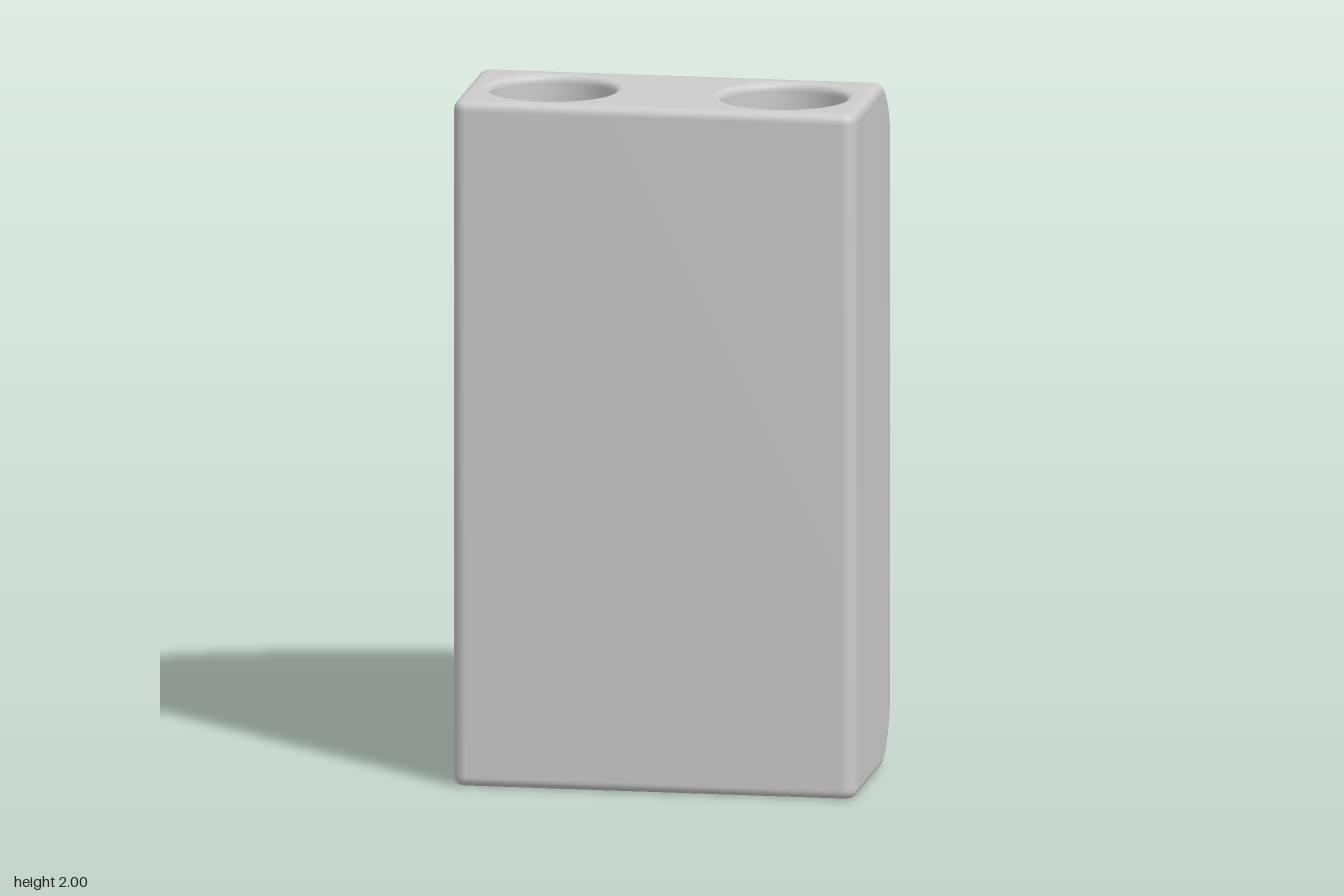
import * as THREE from 'three';
import { mergeVertices } from 'three/addons/utils/BufferGeometryUtils.js';

const R = 0.585;        // half width and radius of the round back
const ZC = 0.02;        // centre of the round back
const ZF = 0.56;        // front face
const CORNER = 0.04;    // vertical front corners
const EDGE = 0.03;      // rounding of the outer rim
const BEND = [0.02, 0.04, 0.06, 0.08, 0.1]; // soft crease between flat end and slope

// Height of the upper end: flat in front, then sloping at 45 degrees
function top(z) {
  if (z >= 0.1) return 2;
  if (z >= 0.02) return 2 - (0.1 - z) ** 2 / 0.16;
  return 1.94 + z;
}

// Arc of points with their outward normals
function arc(cx, cz, r, a0, a1, n, sign = 1) {
  const pts = [];
  for (let i = 0; i <= n; i++) {
    const a = a0 + (a1 - a0) * i / n, c = Math.cos(a), s = Math.sin(a);
    pts.push({ x: cx + r * c, z: cz + r * s, nx: sign * c, nz: sign * s });
  }
  return pts;
}

function outline() {
  const side = [...BEND, 0.2, 0.3, 0.4];
  const h = Math.PI / 2, k = ZF - CORNER;
  return [
    ...side.map(z => ({ x: R, z, nx: 1, nz: 0 })),
    ...arc(R - CORNER, k, CORNER, 0, h, 6),
    ...arc(CORNER - R, k, CORNER, h, 2 * h, 6),
    ...side.slice().reverse().map(z => ({ x: -R, z, nx: -1, nz: 0 })),
    ...arc(0, ZC, R, 2 * h, 4 * h, 64).slice(1, -1),
  ];
}

// Round hole whose normals point into the opening
const hole = (x, z, r, n) => arc(x, z, r, 0, Math.PI * 2, n, -1).slice(0, -1);

const inset = (p, d) => new THREE.Vector2(p.x - p.nx * d, p.z - p.nz * d);

export function createModel() {
  const grey = new THREE.MeshStandardMaterial({ color: 0xcccccc });
  grey.name = 'lightGrey';
  const pos = [];
  const tri = (a, b, c) => pos.push(...a, ...b, ...c);

  // Wall with softly rounded rims at both ends
  function wall(pts, d, inward) {
    const steps = 6;
    const columns = pts.map(p => {
      const q = inset(p, d), y0 = top(q.y), y1 = top(p.z), upper = [];
      for (let i = 0; i <= steps; i++) {
        const t = i / steps, a = (1 - t) ** 2, b = 2 * t * (1 - t), c = t * t;
        upper.push([
          a * q.x + (b + c) * p.x,
          a * y0 + b * y1 + c * (y1 - d),
          a * q.y + (b + c) * p.z,
        ]);
      }
      const lower = upper.slice().reverse().map(([x, y, z]) => [x, 2 - y, z]);
      return [...upper, ...lower];
    });
    columns.forEach((A, j) => {
      const B = columns[(j + 1) % columns.length];
      for (let i = 0; i < A.length - 1; i++) {
        if (inward) {
          tri(A[i], A[i + 1], B[i]);
          tri(B[i], A[i + 1], B[i + 1]);
        } else {
          tri(A[i], B[i], A[i + 1]);
          tri(B[i], B[i + 1], A[i + 1]);
        }
      }
    });
  }

  // Matching upper and lower end surfaces
  function ends(contour, holes = []) {
    const all = [contour, ...holes].flat();
    for (const f of THREE.ShapeUtils.triangulateShape(contour, holes)) {
      let [a, b, c] = f.map(i => all[i]);
      const area = (b.x - a.x) * (c.y - a.y) - (b.y - a.y) * (c.x - a.x);
      if (area > 0) [b, c] = [c, b];
      const up = v => [v.x, top(v.y), v.y];
      const down = v => [v.x, 2 - top(v.y), v.y];
      tri(up(a), up(b), up(c));
      tri(down(a), down(c), down(b));
    }
  }

  const rim = outline();
  const large = [-1, 1].map(s => hole(s * 0.335, 0.315, 0.18, 48));
  const small = hole(0, -0.415, 0.067, 28);
  const largeEdge = 0.025, smallEdge = 0.02;

  wall(rim, EDGE, false);
  large.forEach(h => wall(h, largeEdge, true));
  wall(small, smallEdge, true);

  // Flat front portion, bent strips and sloping back portion
  const cap = rim.map(p => inset(p, EDGE));
  const e = 1e-6, w = R - EDGE;
  ends(cap.filter(v => v.y > 0.1 - e), large.map(h => h.map(p => inset(p, largeEdge))));
  for (let i = 0; i < BEND.length - 1; i++) {
    const a = BEND[i], b = BEND[i + 1];
    ends([[-w, a], [w, a], [w, b], [-w, b]].map(([x, z]) => new THREE.Vector2(x, z)));
  }
  // start the back contour at the left so it stays in order around the curve
  const back = cap.filter(v => v.y < 0.02 + e);
  ends(back, [small.map(p => inset(p, smallEdge))]);

  let geometry = new THREE.BufferGeometry();
  geometry.setAttribute('position', new THREE.Float32BufferAttribute(pos, 3));
  geometry = mergeVertices(geometry, 1e-5);
  geometry.computeVertexNormals();

  const block = new THREE.Mesh(geometry, grey);
  block.name = 'drilledBlock';
  const group = new THREE.Group();
  group.name = 'roundBackedBlock';
  group.add(block);
  return group;
}
